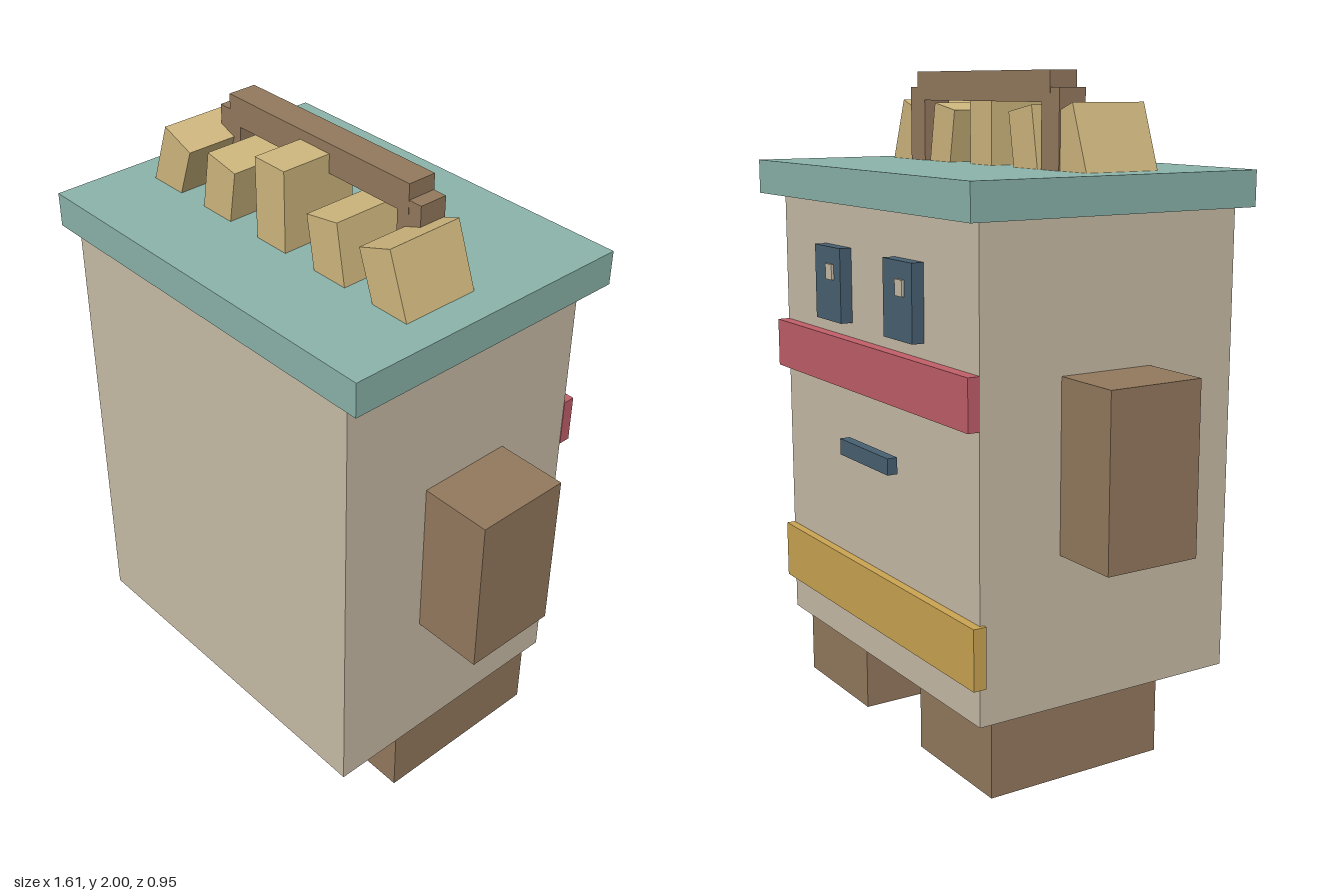
import * as THREE from 'three';

const mat = (name, color) => {
  const m = new THREE.MeshStandardMaterial({ color });
  m.name = name;
  return m;
};

export function createModel() {
  const group = new THREE.Group();
  const stone = mat('stone', 0xcabda8);
  const brown = mat('brown', 0x947a5e);
  const teal = mat('teal', 0x8bb4ab);
  const straw = mat('straw', 0xcfb77e);
  const navy = mat('navy', 0x486172);
  const red = mat('red', 0xc25f6a);
  const ochre = mat('ochre', 0xcca553);

  // Box given by its extents on each axis
  const box = (name, material, [x0, x1], [y0, y1], [z0, z1]) => {
    const mesh = new THREE.Mesh(new THREE.BoxGeometry(x1 - x0, y1 - y0, z1 - z0), material);
    mesh.position.set((x0 + x1) / 2, (y0 + y1) / 2, (z0 + z1) / 2);
    mesh.name = name;
    group.add(mesh);
    return mesh;
  };
  const mirrored = (s, a, b) => (s > 0 ? [a, b] : [-b, -a]);

  // Body and lid
  box('body', stone, [-0.585, 0.585], [0.23, 1.62], [-0.413, 0.45]);
  box('lid', teal, [-0.643, 0.643], [1.62, 1.725], [-0.475, 0.475]);

  for (const s of [1, -1]) {
    const side = s > 0 ? 'left' : 'right';
    // Limbs
    box(side + 'Arm', brown, mirrored(s, 0.56, 0.807), [0.68, 1.187], [-0.15, 0.153]);
    box(side + 'Leg', brown, mirrored(s, 0.172, 0.568), [0, 0.23], [-0.365, 0.215]);
    // Eyes, with pupils shifted to the same side
    box(side + 'Eye', navy, mirrored(s, 0.133, 0.298), [1.26, 1.485], [-0.451, -0.41]);
    const px = s * 0.215 - 0.02;
    box(side + 'Pupil', stone, [px - 0.02, px + 0.02], [1.387, 1.434], [-0.459, -0.45]);
    // Handle posts
    box(side + 'HandlePost', brown, mirrored(s, 0.325, 0.412), [1.72, 1.953], [-0.045, 0.044]);
  }
  box('handleBar', brown, [-0.368, 0.368], [1.912, 2], [-0.046, 0.045]);

  // Mouth and bands on the face side
  box('mouth', navy, [-0.15, 0.15], [0.855, 0.905], [-0.454, -0.422]);
  box('upperBand', red, [-0.587, 0.587], [1.065, 1.215], [-0.45, -0.412]);
  box('lowerBand', ochre, [-0.597, 0.588], [0.345, 0.525], [-0.44, -0.4]);

  // Row of slats fanned inwards, feet sunk into the lid: [x, y] of top centre, tilt in degrees
  const slats = [[-0.411, 1.892, -20], [-0.21, 1.894, -10], [0, 1.97, 0], [0.21, 1.894, 10], [0.411, 1.892, 20]];
  slats.forEach(([x, y, tilt], i) => {
    const length = tilt ? 0.23 : 0.26;
    const geometry = new THREE.BoxGeometry(0.12, length, 0.245).translate(0, -length / 2, 0);
    const slat = new THREE.Mesh(geometry, straw);
    slat.position.set(x, y, 0.082);
    slat.rotation.z = THREE.MathUtils.degToRad(tilt);
    slat.name = 'slat' + (i + 1);
    group.add(slat);
  });

  return group;
}
